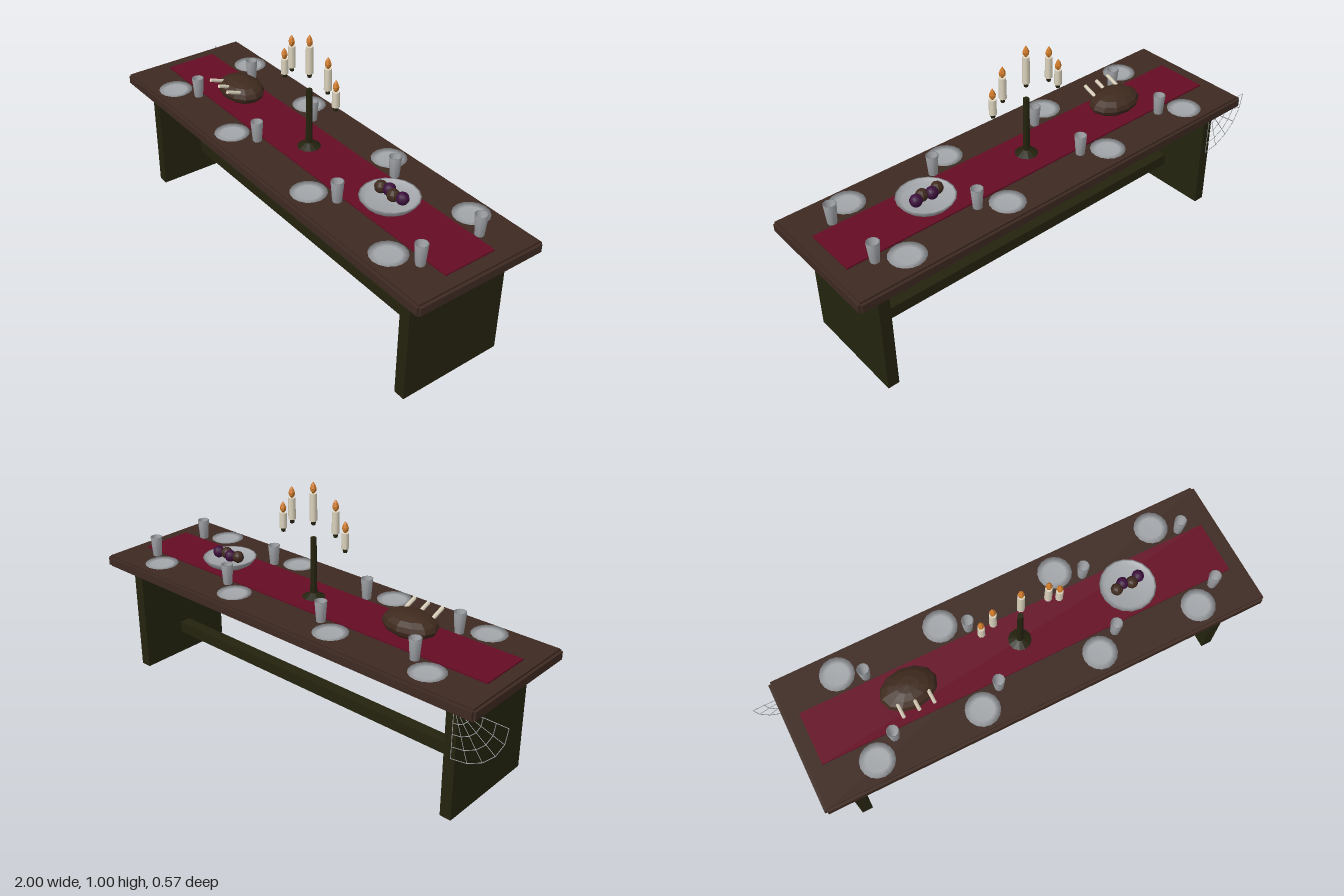
import * as THREE from 'three';

export function createModel() {
  const root = new THREE.Group();
  root.name = 'banquetTable';

  const material = (name, color, extra = {}) => {
    const m = new THREE.MeshStandardMaterial({ color, ...extra });
    m.name = name;
    return m;
  };
  const wood = material('brownWood', 0x3e2a22, { flatShading: true });
  const dark = material('darkWood', 0x24230f, { flatShading: true });
  const cloth = material('redCloth', 0x650c24);
  const pewter = material('pewter', 0xa3a6aa, { side: THREE.DoubleSide });
  const wax = material('ivory', 0xdcd3bd);
  const flameColor = material('flameOrange', 0xd07c2c, { flatShading: true });
  const meat = material('roastBrown', 0x3f2a1e, { flatShading: true });
  const plum = material('plumPurple', 0x3c0f3c);

  const add = (name, geometry, mat, x = 0, y = 0, z = 0, parent = root) => {
    const mesh = new THREE.Mesh(geometry, mat);
    mesh.name = name;
    mesh.position.set(x, y, z);
    parent.add(mesh);
    return mesh;
  };
  const box = (w, h, d) => new THREE.BoxGeometry(w, h, d);
  const lathe = (points, sides) =>
    new THREE.LatheGeometry(points.map(([r, y]) => new THREE.Vector2(r, y)), sides);
  // Round bar between two points
  const bar = (name, a, b, r, sides, mat, parent = root) => {
    const dir = b.clone().sub(a);
    const mesh = add(name, new THREE.CylinderGeometry(r, r, dir.length(), sides), mat, 0, 0, 0, parent);
    mesh.position.copy(a).lerp(b, 0.5);
    mesh.quaternion.setFromUnitVectors(new THREE.Vector3(0, 1, 0), dir.normalize());
    return mesh;
  };

  const cx = 0.045; // centre of the table
  const top = 0.52; // height of the tabletop

  // Tabletop with edge trim
  add('tabletop', box(1.878, 0.05, 0.545), wood, cx, 0.495, 0);
  for (const s of [-1, 1]) {
    add('longTrim', box(1.88, 0.032, 0.02), wood, cx, 0.496, s * 0.273);
    add('endTrim', box(0.02, 0.032, 0.548), wood, cx + s * 0.94, 0.496, 0);
    add('legPanel', box(0.047, 0.47, 0.444), dark, cx + s * 0.825, 0.235, 0);
  }
  add('stretcher', box(1.61, 0.05, 0.05), dark, cx, 0.125, 0);
  add('tableRunner', box(1.772, 0.006, 0.222), cloth, cx, top + 0.003, 0);

  // Place settings
  const plate = lathe([[0, 0], [0.045, 0], [0.07, 0.008], [0.045, 0.005], [0, 0.004]], 16);
  const cup = lathe([[0, 0], [0.018, 0], [0.025, 0.085], [0.022, 0.085], [0.016, 0.006], [0, 0.006]], 10);
  for (const x of [-0.65, -0.21, 0.298, 0.74]) {
    for (const s of [-1, 1]) {
      add('plate', plate, pewter, x, top, s * 0.19);
      add('goblet', cup, pewter, x + 0.096, top, s * 0.135);
    }
  }

  // Roast with bones
  const roast = add('roast', new THREE.SphereGeometry(1, 12, 8), meat, -0.43, 0.568, 0);
  roast.scale.set(0.116, 0.048, 0.086);
  for (const x of [-0.494, -0.43, -0.367]) {
    bar('bone', new THREE.Vector3(x, 0.588, 0.045), new THREE.Vector3(x, 0.612, 0.108), 0.008, 6, wax);
  }

  // Fruit bowl
  add('fruitBowl', lathe([[0, 0], [0.07, 0], [0.095, 0.014], [0.113, 0.037],
    [0.105, 0.037], [0.088, 0.02], [0, 0.016]], 18), pewter, 0.523, 0.523, 0);
  const fruit = new THREE.SphereGeometry(0.025, 10, 8);
  [0.473, 0.505, 0.54, 0.575].forEach((x, i) =>
    add('fruit', fruit, i % 2 ? plum : meat, x, 0.571, i % 2 ? -0.013 : 0));

  // Candle stand
  add('standBase', new THREE.CylinderGeometry(0.015, 0.05, 0.02, 12), dark, cx, 0.534, 0);
  add('standPole', new THREE.CylinderGeometry(0.012, 0.014, 0.24, 8), dark, cx, 0.655, 0);

  // Candles: offset, bottom and top of the wax
  const flame = lathe([[0, 0], [0.011, 0.012], [0.013, 0.024], [0.008, 0.038], [0, 0.05]], 6);
  for (const [dx, low, high] of [[0, 0.843, 0.953], [-0.112, 0.822, 0.909], [0.112, 0.822, 0.909],
    [-0.16, 0.774, 0.836], [0.16, 0.774, 0.836]]) {
    const candle = new THREE.Group();
    candle.name = 'candle';
    candle.position.x = cx + dx;
    root.add(candle);
    add('wax', new THREE.CylinderGeometry(0.014, 0.015, high - low, 8), wax, 0, (low + high) / 2, 0, candle);
    add('holder', new THREE.CylinderGeometry(0.01, 0.008, 0.016, 8), dark, 0, low - 0.008, 0, candle);
    add('flame', flame, flameColor, 0, high - 0.003, 0, candle);
  }

  // Cobweb under the table corner
  const web = new THREE.Group();
  web.name = 'cobweb';
  web.position.set(-0.787, 0.468, -0.223);
  root.add(web);
  const spokes = 5;
  const point = (r, i) => {
    const a = (i / spokes) * Math.PI / 2;
    return new THREE.Vector3(-r * Math.cos(a), -r * Math.sin(a), 0);
  };
  for (let i = 0; i <= spokes; i++) {
    bar('webSpoke', point(0, i), point(0.213, i), 0.0015, 4, pewter, web);
    if (i === spokes) break;
    for (const r of [0.07, 0.115, 0.165, 0.213]) {
      bar('webThread', point(r, i), point(r, i + 1), 0.0015, 4, pewter, web);
    }
  }
  return root;
}
